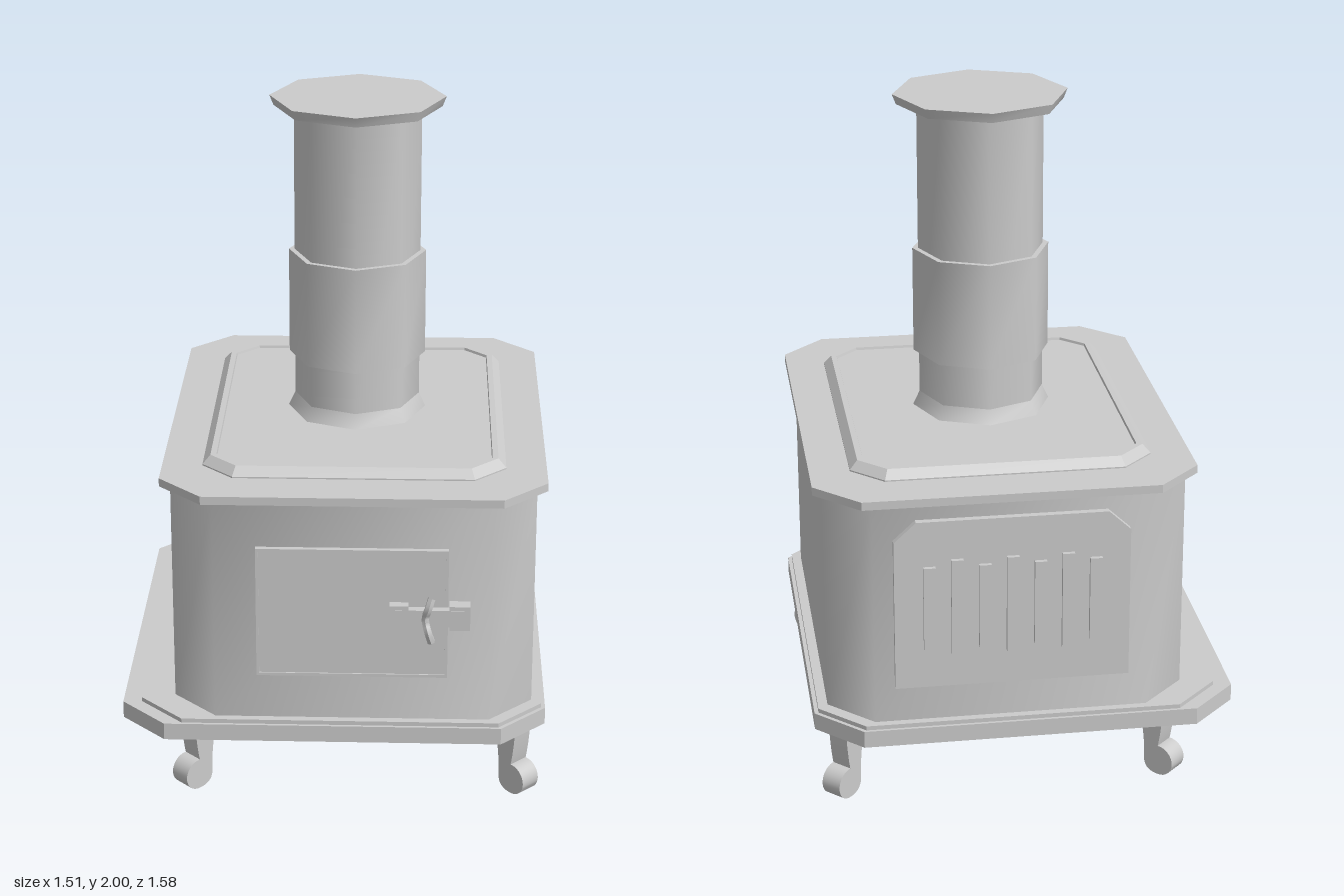
import * as THREE from 'three';
import { toCreasedNormals } from 'three/addons/utils/BufferGeometryUtils.js';

const SMOOTH = 1.0, SHARP = 0.5; // crease angles in radians

export function createModel() {
  const model = new THREE.Group();
  const stove = new THREE.Group();
  stove.name = 'stove';
  stove.rotation.y = -Math.PI / 12;
  model.add(stove);
  const mat = new THREE.MeshStandardMaterial({ color: 0xcccccc });
  const CX = 0.057; // centre line of the firebox

  function add(parent, name, geo, x = 0, y = 0, z = 0, crease = SHARP) {
    const mesh = new THREE.Mesh(toCreasedNormals(geo, crease), mat);
    mesh.name = name;
    mesh.position.set(x, y, z);
    parent.add(mesh);
    return mesh;
  }

  // Rectangle with cut corners, lofted through [inset, y] steps and capped
  function cutCornerLoft(hx, hz, cut, steps) {
    const pos = [], idx = [];
    for (const [inset, y] of steps) {
      const x = hx - inset, z = hz - inset, c = cut - inset * 0.586;
      for (const [px, pz] of [[x, z - c], [x, c - z], [x - c, -z], [c - x, -z],
        [-x, c - z], [-x, z - c], [c - x, z], [x - c, z]]) pos.push(px, y, pz);
    }
    for (let s = 0; s < steps.length - 1; s++) {
      for (let i = 0; i < 8; i++) {
        const a = s * 8 + i, b = s * 8 + (i + 1) % 8;
        idx.push(a, b, b + 8, a, b + 8, a + 8);
      }
    }
    const top = (steps.length - 1) * 8;
    for (let i = 1; i < 7; i++) {
      idx.push(0, i + 1, i);
      idx.push(top, top + i, top + i + 1);
    }
    const geo = new THREE.BufferGeometry();
    geo.setAttribute('position', new THREE.Float32BufferAttribute(pos, 3));
    geo.setIndex(idx);
    return geo;
  }

  // Base, firebox and top
  add(stove, 'basePlate', cutCornerLoft(0.632, 0.687, 0.135, [[0, 0.22], [0, 0.272]]));
  add(stove, 'baseStep', cutCornerLoft(0.598, 0.678, 0.13, [[0, 0.265], [0, 0.285]]), 0.022);
  add(stove, 'firebox', cutCornerLoft(0.534, 0.655, 0.13, [[0, 0.28], [0, 0.98]]), CX, 0, 0, SMOOTH);
  add(stove, 'topPlate', cutCornerLoft(0.564, 0.68, 0.13, [[0, 0.975], [0, 1.0]]), CX);
  add(stove, 'lid', cutCornerLoft(0.445, 0.541, 0.093,
    [[0, 0.995], [0, 1.004], [0.023, 1.03], [0.04, 1.03], [0.042, 1.022]]), CX);

  // Eight-sided chimney: [name, top radius, bottom radius, bottom y, top y]
  const chimney = new THREE.Group();
  chimney.name = 'chimney';
  chimney.position.x = CX - 0.003;
  stove.add(chimney);
  for (const [name, rt, rb, y0, y1] of [
    ['pipeFlange', 0.19, 0.211, 1.02, 1.065],
    ['pipe', 0.19, 0.19, 1.02, 1.98],
    ['pipeCollar', 0.207, 0.207, 1.2, 1.525],
    ['chimneyCap', 0.262, 0.25, 1.97, 2.0],
  ]) {
    add(chimney, name, new THREE.CylinderGeometry(rt, rb, y1 - y0, 8), 0, (y0 + y1) / 2, 0, SMOOTH);
  }

  // Front door with a raised edge and a latch
  const door = new THREE.Group();
  door.name = 'door';
  door.position.set(CX, 0.632, 0.655);
  stove.add(door);
  const rect = (w, h, P) => {
    const p = new P();
    p.moveTo(-w, -h); p.lineTo(w, -h); p.lineTo(w, h); p.lineTo(-w, h); p.closePath();
    return p;
  };
  const frame = rect(0.279, 0.203, THREE.Shape);
  frame.holes.push(rect(0.271, 0.194, THREE.Path));
  add(door, 'doorFrame', new THREE.ExtrudeGeometry(frame, { depth: 0.016, bevelEnabled: false }));
  add(door, 'doorPanel', new THREE.BoxGeometry(0.55, 0.396, 0.02), 0, 0, 0.002);

  const latch = new THREE.Group();
  latch.name = 'latch';
  latch.position.set(0.225, 0, 0);
  door.add(latch);
  add(latch, 'latchBar', new THREE.BoxGeometry(0.2, 0.052, 0.024), 0, 0, 0.03);
  for (const [side, w] of [[-1, 0.055], [1, 0.06]]) {
    add(latch, 'latchBracket', new THREE.BoxGeometry(w, 0.076, 0.04), side * 0.088, 0, 0.02);
  }
  const grip = new THREE.CatmullRomCurve3([[0.006, -0.07, 0.05], [-0.004, -0.035, 0.056],
    [-0.012, 0, 0.042], [-0.004, 0.035, 0.056], [0.006, 0.07, 0.05]]
    .map(p => new THREE.Vector3(...p)));
  add(latch, 'latchHandle', new THREE.TubeGeometry(grip, 12, 0.012, 6), 0, 0, 0, SMOOTH);

  // Rear vent panel with cut upper corners and raised slats
  const vent = new THREE.Group();
  vent.name = 'ventPanel';
  vent.position.set(CX, 0, -0.65);
  vent.rotation.y = Math.PI;
  stove.add(vent);
  const plate = new THREE.Shape([[-0.345, 0.4], [0.345, 0.4], [0.345, 0.865], [0.28, 0.925],
    [-0.28, 0.925], [-0.345, 0.865]].map(p => new THREE.Vector2(...p)));
  add(vent, 'ventPlate', new THREE.ExtrudeGeometry(plate, { depth: 0.025, bevelEnabled: false }));
  for (let i = -3; i <= 3; i++) {
    const h = i % 2 ? 0.26 : 0.3;
    add(vent, 'ventSlat', new THREE.BoxGeometry(0.036, h, 0.02), i * 0.081, 0.655, 0.028);
  }

  // Curled legs, each turned outwards on its diagonal
  const profile = new THREE.Shape();
  profile.moveTo(-0.065, 0.225);
  profile.lineTo(0.024, 0.225);
  profile.quadraticCurveTo(0.018, 0.14, 0.008, 0.096);
  profile.absarc(0.012, 0.048, 0.048, Math.PI / 2, -Math.PI / 2, true);
  profile.quadraticCurveTo(-0.035, 0, -0.04, 0.035);
  profile.quadraticCurveTo(-0.038, 0.12, -0.065, 0.225);
  const legGeo = new THREE.ExtrudeGeometry(profile, { depth: 0.066, bevelEnabled: false, curveSegments: 8 });
  legGeo.translate(0, 0, -0.033);
  for (const sx of [-1, 1]) {
    for (const sz of [-1, 1]) {
      const leg = add(stove, 'leg', legGeo, 0.065 + sx * 0.485, 0, sz * 0.555, SMOOTH);
      leg.rotation.y = -Math.atan2(sz, sx);
    }
  }
  return model;
}
